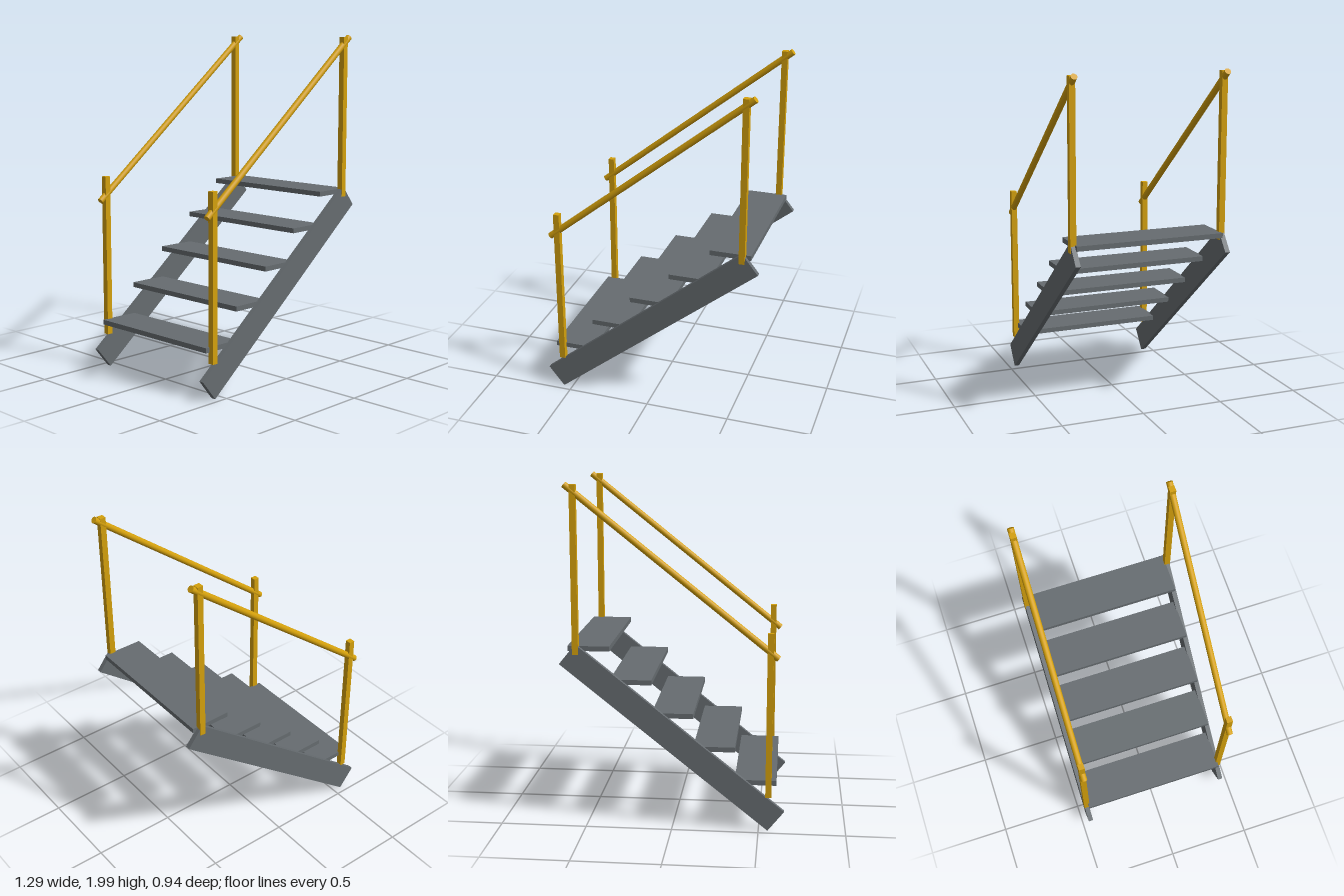
import * as THREE from 'three';

export function createModel() {
  const model = new THREE.Group();
  model.name = 'openStaircase';

  const steel = new THREE.MeshStandardMaterial({ color: 0x666c70 });
  steel.name = 'grey steel';
  const yellow = new THREE.MeshStandardMaterial({ color: 0xd4a00c });
  yellow.name = 'safety yellow';

  const slope = Math.atan2(0.96, 1.2);
  const length = Math.hypot(1.2, 0.96);

  function add(name, geometry, material, x, y, z, tilt = 0) {
    const mesh = new THREE.Mesh(geometry, material);
    mesh.name = name;
    mesh.position.set(x, y, z);
    mesh.rotation.z = tilt;
    model.add(mesh);
  }

  // Five open treads climbing towards +x
  const treadGeometry = new THREE.BoxGeometry(0.24, 0.029, 0.88);
  for (let i = 0; i < 5; i++) {
    add(`tread${i + 1}`, treadGeometry, steel, -0.48 + i * 0.24, 0.29 + i * 0.192, 0);
  }

  const stringerGeometry = new THREE.BoxGeometry(length, 0.15, 0.029);
  const postGeometry = new THREE.BoxGeometry(0.035, 0.96, 0.035);
  const railGeometry = new THREE.CylinderGeometry(0.019, 0.019, length, 16);

  // Matching stringer, posts and handrail on each side
  for (const [side, z] of [['front', 0.449], ['back', -0.449]]) {
    add(`${side}Stringer`, stringerGeometry, steel, 0, 0.548, z, slope);
    add(`${side}LowerPost`, postGeometry, yellow, -0.555, 0.69, z);
    add(`${side}UpperPost`, postGeometry, yellow, 0.552, 1.507, z);
    add(`${side}Handrail`, railGeometry, yellow, 0, 1.505, z, slope - Math.PI / 2);
  }

  return model;
}
